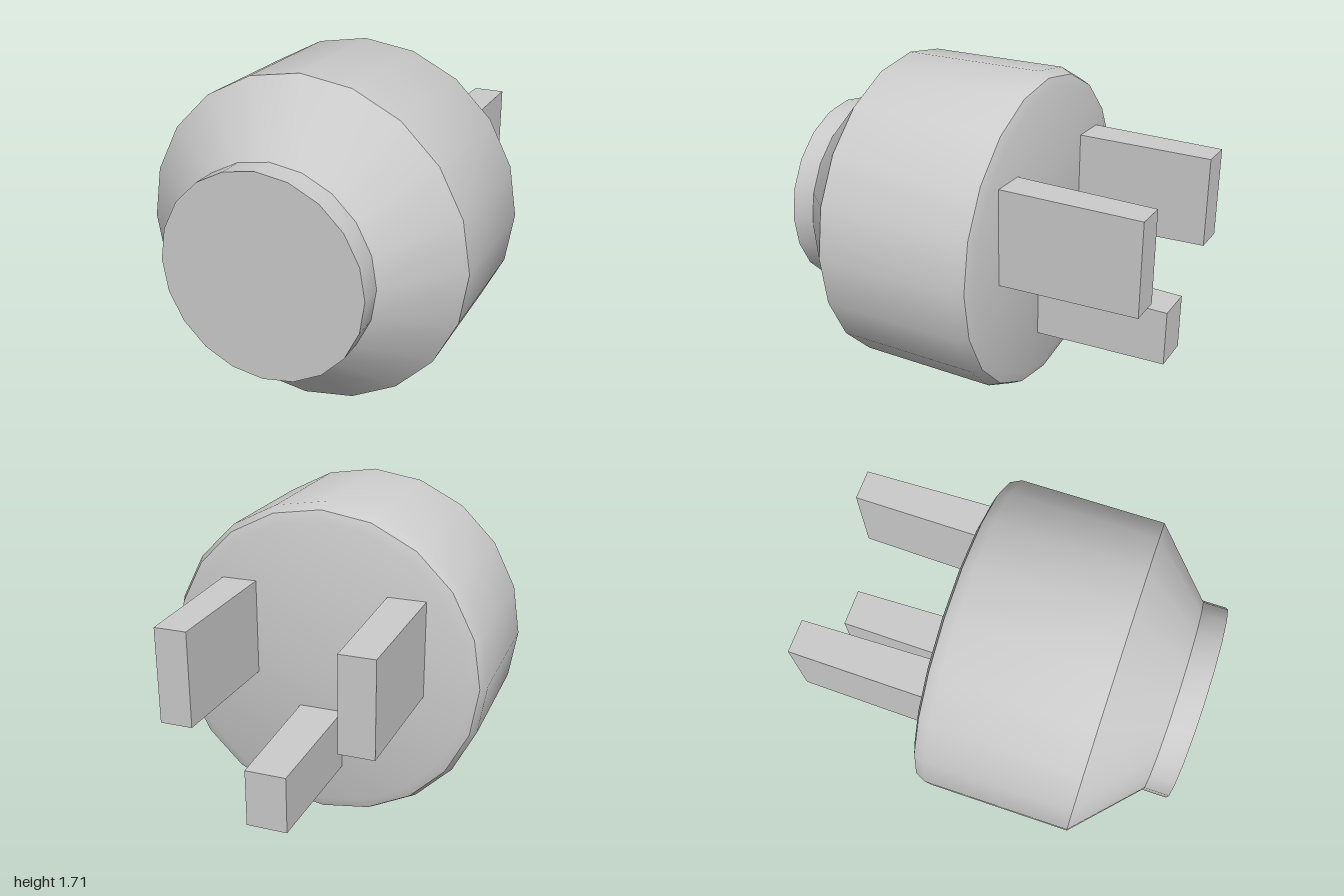
import * as THREE from 'three';
import { toCreasedNormals } from 'three/addons/utils/BufferGeometryUtils.js';

const material = new THREE.MeshStandardMaterial({ color: 0xcccccc });
const CENTRE_Y = 0.855;
const BACK_Z = -0.28;

// Solid of revolution along z from [radius, z] pairs, running back to front
function turned(name, profile) {
  const points = profile.map(([r, z]) => new THREE.Vector2(r, z));
  const lathe = new THREE.LatheGeometry(points, 20).rotateX(Math.PI / 2);
  const mesh = new THREE.Mesh(toCreasedNormals(lathe, 0.76), material);
  mesh.name = name;
  mesh.position.y = CENTRE_Y;
  return mesh;
}

// Rectangular prong that narrows by `taper` on every side towards its tip
function prong(name, x, y, width, height, tipZ, taper) {
  const length = BACK_Z - tipZ;
  const geometry = new THREE.BoxGeometry(width, height, length);
  const pos = geometry.attributes.position;
  for (let i = 0; i < pos.count; i++) {
    if (pos.getZ(i) > 0) continue;
    pos.setX(i, pos.getX(i) - Math.sign(pos.getX(i)) * taper);
    pos.setY(i, pos.getY(i) - Math.sign(pos.getY(i)) * taper);
  }
  geometry.computeVertexNormals();
  const mesh = new THREE.Mesh(geometry, material);
  mesh.name = name;
  mesh.position.set(x, y, (BACK_Z + tipZ) / 2);
  return mesh;
}

export function createModel() {
  const group = new THREE.Group();
  group.name = 'plug';

  // Body with bevelled back rim, conical shoulder and short front collar
  group.add(turned('body', [
    [0, BACK_Z], [0.77, BACK_Z], [0.825, -0.26], [0.853, -0.2],
    [0.853, 0.56], [0.523, 0.87], [0.523, 1], [0, 1],
  ]));

  // Two upright blades and the lower ground prong
  group.add(prong('leftBlade', 0.443, 1.032, 0.185, 0.502, -1, 0.011));
  group.add(prong('rightBlade', -0.448, 1.032, 0.198, 0.502, -1, 0.011));
  group.add(prong('groundProng', 0, 0.465, 0.234, 0.32, -0.99, 0.013));

  return group;
}
